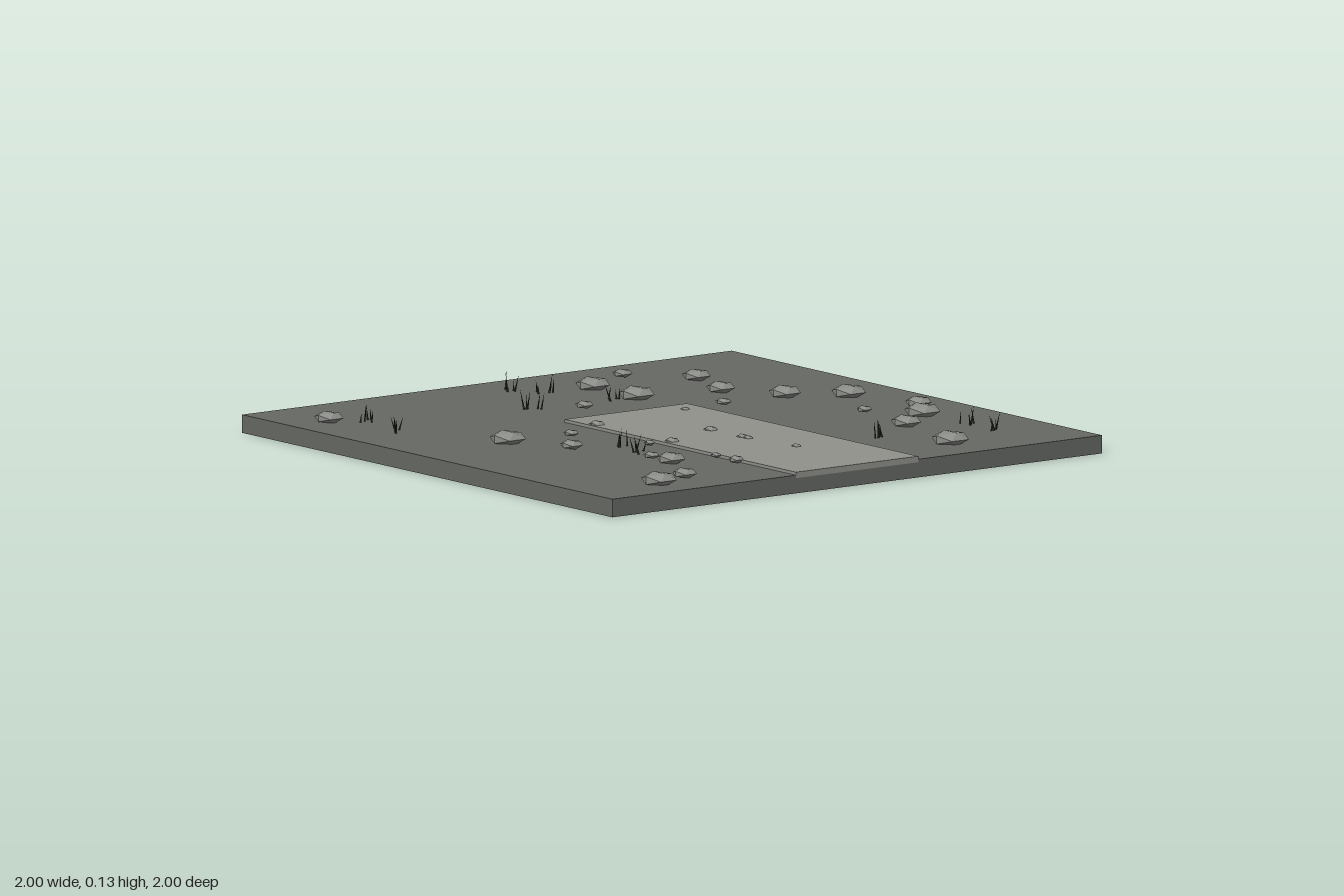
import * as THREE from 'three';

const mat = (name, color) => {
  const m = new THREE.MeshStandardMaterial({ color });
  m.name = name;
  return m;
};

export function createModel() {
  const model = new THREE.Group();
  const ground = mat('dark ground grey', 0x666864);
  const paving = mat('pale path grey', 0x90918b);
  const stone = mat('stone grey', 0x8a8c87);
  const grass = mat('dark grass', 0x2b2f29);

  const add = (parent, name, geo, material, x, y, z) => {
    const mesh = new THREE.Mesh(geo, material);
    mesh.name = name;
    mesh.position.set(x, y, z);
    parent.add(mesh);
    return mesh;
  };
  const group = (name) => {
    const g = new THREE.Group();
    g.name = name;
    model.add(g);
    return g;
  };

  // Ground tile and raised path
  add(model, 'groundTile', new THREE.BoxGeometry(2, 0.06, 2), ground, 0, 0.03, 0);
  add(model, 'path', new THREE.BoxGeometry(1.25, 0.02, 0.5), paving, 0.375, 0.06, 0);

  // Flattened faceted stones: [x, z, radius]
  const stoneGeo = new THREE.IcosahedronGeometry(1, 0);
  const scatter = (parent, name, list, y, flat) => list.forEach(([x, z, r]) =>
    add(parent, name, stoneGeo, stone, x, y, z).scale.set(r, r * flat, r));

  scatter(group('rocks'), 'rock', [
    [-0.09, -0.79, 0.06], [0.2, -0.855, 0.046], [0.34, -0.765, 0.063], [0.205, -0.63, 0.027],
    [0.47, -0.6, 0.053], [0.815, -0.52, 0.065], [-0.21, -0.62, 0.056], [-0.405, -0.505, 0.05],
    [-0.635, -0.58, 0.05], [-0.81, -0.41, 0.035], [-0.185, -0.35, 0.028], [-0.705, -0.21, 0.06],
    [-0.475, -0.215, 0.063], [-0.41, 0.048, 0.032], [-0.01, 0.405, 0.027], [0.165, 0.535, 0.04],
    [-0.06, 0.625, 0.063], [0.48, 0.448, 0.028], [0.565, 0.432, 0.051], [0.815, 0.565, 0.043],
    [0.855, 0.7, 0.062], [-0.722, 0.855, 0.051],
  ], 0.075, 0.4);

  scatter(group('pebbles'), 'pebble', [
    [-0.165, -0.178, 0.016], [0.192, -0.012, 0.025], [0.36, -0.015, 0.02], [0.39, -0.015, 0.018],
    [0.607, -0.048, 0.017], [-0.112, 0.222, 0.027], [0.288, 0.218, 0.025], [0.267, 0.294, 0.019],
    [0.583, 0.262, 0.018], [0.687, 0.258, 0.026],
  ], 0.07, 0.5);

  // Tufts of thin leaning blades
  let seed = 7;
  const rand = () => (seed = (seed * 16807) % 2147483647) / 2147483647;
  const bladeGeo = new THREE.ConeGeometry(0.004, 1, 4).translate(0, 0.5, 0);
  const tufts = group('grassTufts');
  [
    [0.57, -0.79], [0.705, -0.785], [0.6, -0.4], [-0.5, -0.135], [-0.74, -0.035], [-0.84, 0.02],
    [-0.515, 0.178], [0.23, 0.375], [0.36, 0.395], [-0.653, 0.748], [-0.435, 0.797],
  ].forEach(([x, z]) => {
    for (let i = 0; i < 5; i++) {
      const blade = add(tufts, 'grassBlade', bladeGeo, grass,
        x + (rand() - 0.5) * 0.05, 0.058, z + (rand() - 0.5) * 0.06);
      blade.scale.y = 0.035 + rand() * 0.035;
      blade.rotation.set((rand() - 0.5) * 0.6, 0, (rand() - 0.5) * 0.6);
    }
  });

  return model;
}
